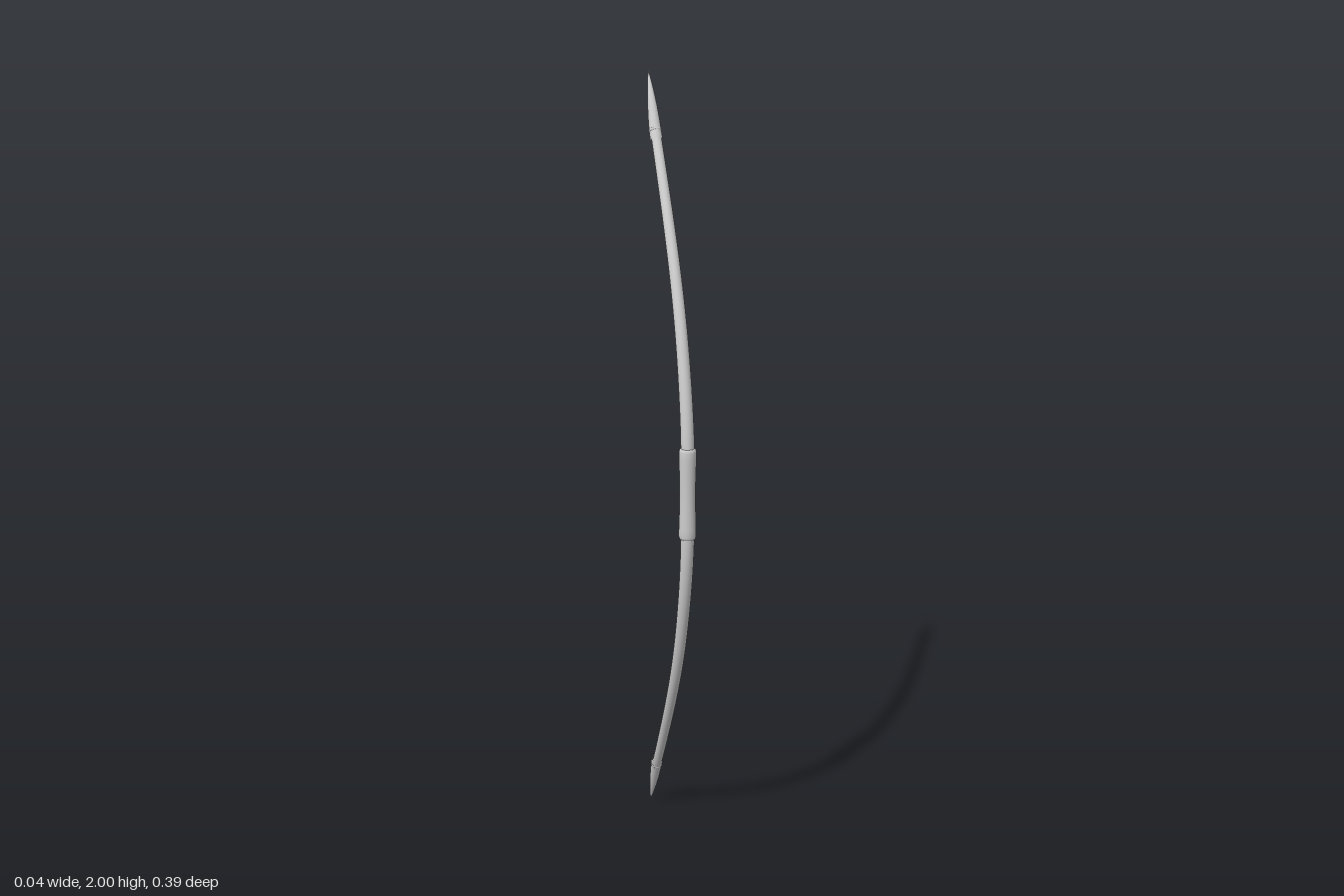
import * as THREE from 'three';

const material = new THREE.MeshStandardMaterial({ color: 0xcccccc });

function part(name, geometry) {
  const mesh = new THREE.Mesh(geometry, material);
  mesh.name = name;
  return mesh;
}

// Tube along a curve whose radius follows radiusAt(t)
function taperedTube(points, segments, radiusAt) {
  const curve = new THREE.CatmullRomCurve3(points.map(([y, z]) => new THREE.Vector3(0, y, z)));
  const sides = 20;
  const geometry = new THREE.TubeGeometry(curve, segments, 1, sides);
  const pos = geometry.attributes.position;
  const v = new THREE.Vector3();
  for (let i = 0; i <= segments; i++) {
    const centre = curve.getPointAt(i / segments);
    for (let j = 0; j <= sides; j++) {
      const k = i * (sides + 1) + j;
      v.fromBufferAttribute(pos, k).sub(centre).multiplyScalar(radiusAt(i / segments)).add(centre);
      pos.setXYZ(k, v.x, v.y, v.z);
    }
  }
  geometry.computeVertexNormals();
  return geometry;
}

// One half of the bow, with y measured from the middle of the grip
function bowHalf(name) {
  const half = new THREE.Group();
  half.name = name;

  // Curved limb, thinning outward
  const limb = [[0, 0.178], [0.12, 0.177], [0.25, 0.157], [0.4, 0.115],
    [0.52, 0.066], [0.64, 0.004], [0.75, -0.06], [0.86, -0.127]];
  half.add(part('limb', taperedTube(limb, 64, (t) => 0.0175 - 0.005 * t)));

  // Pointed tip, bent slightly back upright
  const tip = [[0.835, -0.114], [0.865, -0.131], [0.92, -0.157], [1, -0.195]];
  half.add(part('tip', taperedTube(tip, 24, (t) => 0.0135 * (1 - t ** 2) + 0.002 * Math.sqrt(1 - t))));

  // Ring and small string notch where the tip meets the limb
  const ring = part('tipRing', new THREE.TorusGeometry(0.0125, 0.0042, 10, 24));
  ring.position.set(0, 0.856, -0.127);
  ring.rotation.x = Math.PI / 2 - 0.6;
  half.add(ring);

  const notch = part('stringNotch', new THREE.SphereGeometry(0.007, 14, 10));
  notch.position.set(0, 0.842, -0.136);
  notch.scale.set(1, 1.7, 1);
  notch.rotation.x = -0.5;
  half.add(notch);

  half.position.y = 1;
  return half;
}

export function createModel() {
  const bow = new THREE.Group();
  bow.name = 'bow';

  const upper = bowHalf('upperHalf');
  const lower = bowHalf('lowerHalf');
  lower.rotation.z = Math.PI;
  bow.add(upper, lower);

  // Grip sleeve with rounded ends and a slight waist
  const profile = [[0, 0.894], [0.016, 0.894], [0.0195, 0.896], [0.0215, 0.902], [0.0215, 0.92],
    [0.0205, 0.95], [0.0195, 0.99], [0.0195, 1.03], [0.0205, 1.07], [0.0215, 1.1],
    [0.0215, 1.118], [0.0195, 1.124], [0.016, 1.126], [0, 1.126]];
  const grip = part('grip', new THREE.LatheGeometry(profile.map(([r, y]) => new THREE.Vector2(r, y)), 28));
  grip.position.z = 0.177;
  bow.add(grip);

  return bow;
}
